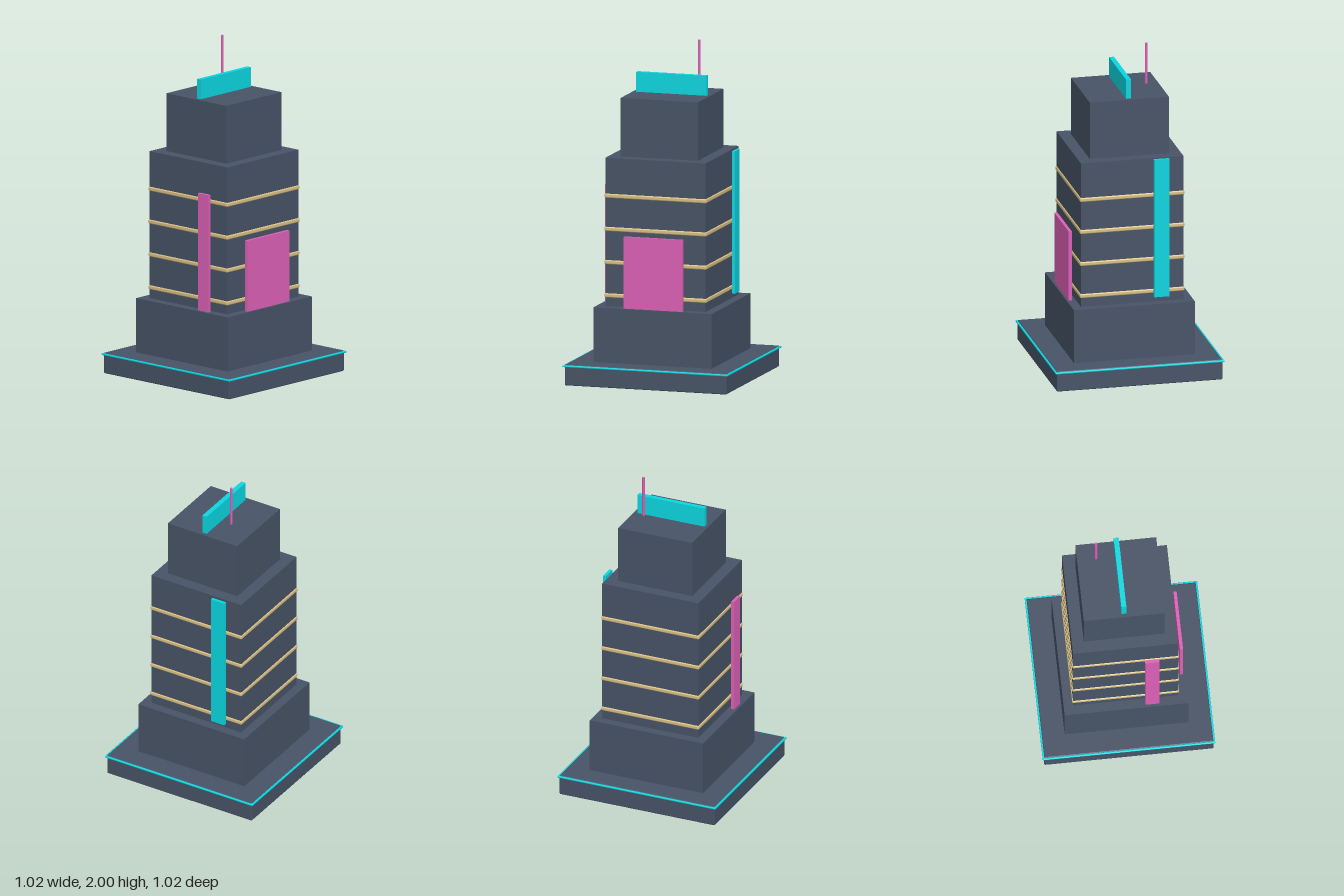
import * as THREE from 'three';
import { RoundedBoxGeometry } from 'three/addons/geometries/RoundedBoxGeometry.js';

export function createModel() {
  const model = new THREE.Group();
  model.name = 'tower';
  const mat = (color) => new THREE.MeshStandardMaterial({ color });
  const slate = mat(0x475366);
  const cyan = mat(0x0bd6e0);
  const gold = mat(0xd9c083);
  const pink = mat(0xdc60b6);

  const add = (name, geometry, material, x, y, z) => {
    const mesh = new THREE.Mesh(geometry, material);
    mesh.name = name;
    mesh.position.set(x, y, z);
    model.add(mesh);
  };
  // Box given by its limits on each axis; a radius rounds its edges
  const box = (name, material, [x0, x1], [y0, y1], [z0, z1], radius = 0) => {
    const size = [x1 - x0, y1 - y0, z1 - z0];
    const geometry = radius
      ? new RoundedBoxGeometry(...size, 2, radius)
      : new THREE.BoxGeometry(...size);
    add(name, geometry, material, (x0 + x1) / 2, (y0 + y1) / 2, (z0 + z1) / 2);
  };
  const square = (name, material, half, y, radius) =>
    box(name, material, [-half, half], y, [-half, half], radius);

  // Plinth with its glowing edge
  square('plinth', slate, 0.502, [0, 0.125], 0.006);
  square('plinthTrim', cyan, 0.512, [0.11, 0.121], 0.004);

  // Stepped building
  square('podium', slate, 0.367, [0.12, 0.453]);
  square('shaft', slate, 0.311, [0.453, 1.343]);
  square('crown', slate, 0.24, [1.343, 1.693]);

  // Floor bands around the shaft
  for (let i = 0; i < 4; i++) {
    const y = 0.519 + i * 0.199;
    square('floorBand', gold, 0.317, [y - 0.013, y + 0.013], 0.008);
  }

  // Sign boards standing off the walls
  box('frontSign', pink, [-0.183, 0.183], [0.45, 0.883], [0.336, 0.355]);
  box('rightSign', pink, [-0.351, -0.332], [0.45, 1.163], [0.113, 0.198]);
  box('leftSign', cyan, [0.33, 0.349], [0.49, 1.343], [-0.217, -0.125]);

  // Roof sign and antenna
  box('roofSign', cyan, [-0.218, 0.218], [1.69, 1.812], [-0.015, 0.015]);
  add('antenna', new THREE.CylinderGeometry(0.008, 0.008, 0.25, 12), pink, 0.126, 1.875, -0.129);

  return model;
}
